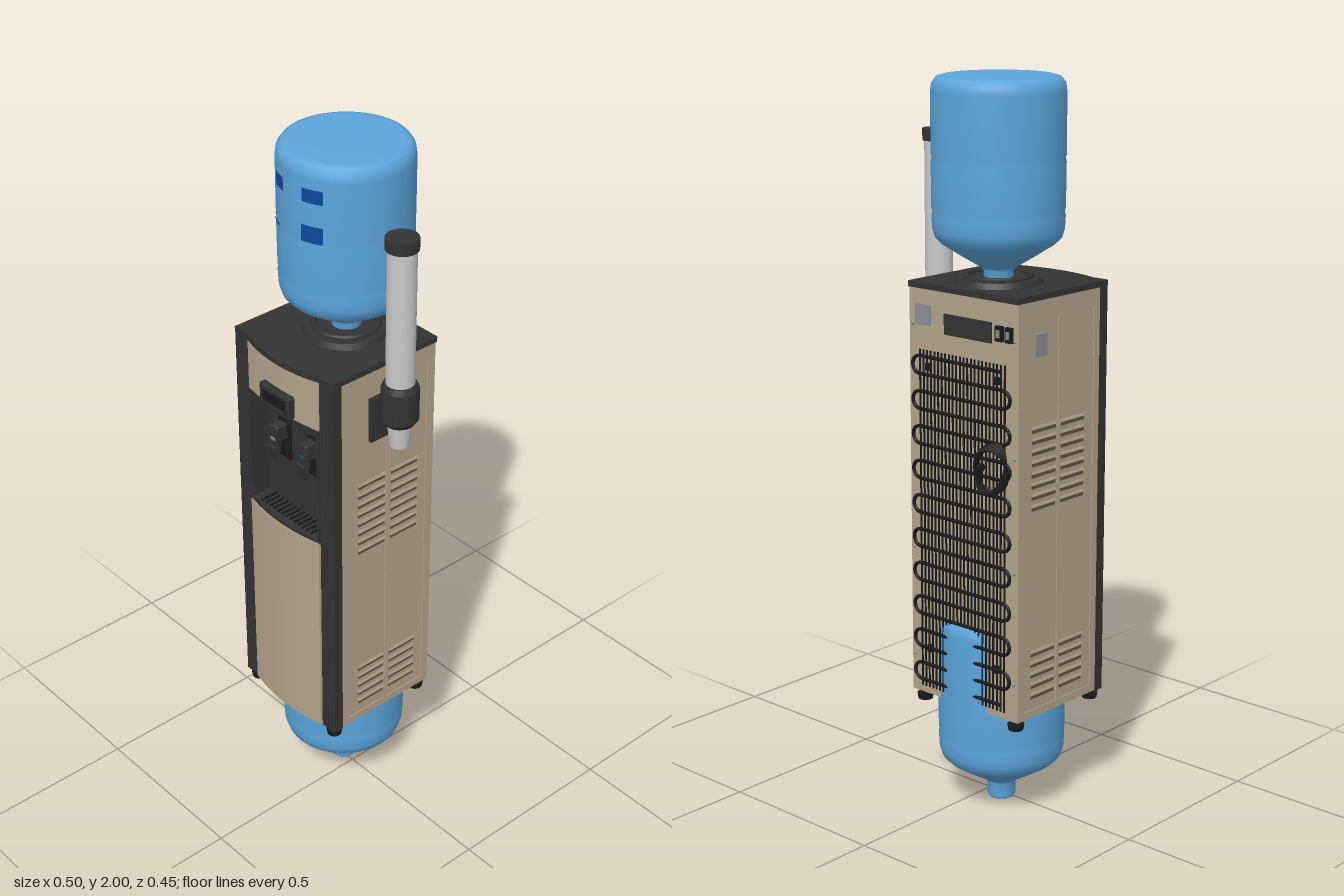
import * as THREE from 'three';
import { RoundedBoxGeometry } from 'three/addons/geometries/RoundedBoxGeometry.js';

const paint = (name, color, double) => {
  const m = new THREE.MeshStandardMaterial({ color });
  m.name = name;
  if (double) m.side = THREE.DoubleSide;
  return m;
};

export function createModel() {
  const beige = paint('champagneMetal', 0xb3a48b);
  const black = paint('charcoalPlastic', 0x333333);
  const dark = paint('blackWire', 0x1a1a1a);
  const blue = paint('bottleBlue', 0x5ba5dc);
  const navy = paint('labelBlue', 0x0c4a9c, true);
  const grey = paint('cupTubeGrey', 0xc9c9c9);
  const slit = paint('ventShadow', 0x5f5545);
  const steel = paint('plateGrey', 0x8b8f94);

  const model = new THREE.Group();
  model.name = 'waterDispenser';

  const add = (parent, name, geo, mat, x = 0, y = 0, z = 0) => {
    const m = new THREE.Mesh(geo, mat);
    m.name = name;
    m.position.set(x, y, z);
    parent.add(m);
    return m;
  };
  // box given by its limits
  const box = (parent, name, mat, x0, x1, y0, y1, z0, z1) =>
    add(parent, name, new THREE.BoxGeometry(x1 - x0, y1 - y0, z1 - z0), mat,
      (x0 + x1) / 2, (y0 + y1) / 2, (z0 + z1) / 2);
  const group = (parent, name, x = 0, y = 0, z = 0) => {
    const g = new THREE.Group();
    g.name = name;
    g.position.set(x, y, z);
    parent.add(g);
    return g;
  };
  // flat outline in x/z raised from y0 to y1
  const prism = (parent, name, mat, shape, y0, y1) => {
    const geo = new THREE.ExtrudeGeometry(shape, { depth: y1 - y0, bevelEnabled: false, curveSegments: 20 });
    geo.rotateX(Math.PI / 2);
    return add(parent, name, geo, mat, 0, y1, 0);
  };
  const bowFront = (half, zBack, zSide, zMid) => {
    const s = new THREE.Shape();
    s.moveTo(-half, zBack);
    s.lineTo(half, zBack);
    s.lineTo(half, zSide);
    s.quadraticCurveTo(0, 2 * zMid - zSide, -half, zSide);
    s.closePath();
    return s;
  };

  // Water bottles, neck down
  const profile = [[0, 0], [0.036, 0], [0.039, 0.006], [0.039, 0.045], [0.05, 0.055], [0.1, 0.085],
    [0.15, 0.117], [0.166, 0.133], [0.173, 0.155], [0.175, 0.19], [0.172, 0.2], [0.175, 0.21], [0.176, 0.33],
    [0.173, 0.34], [0.176, 0.35], [0.176, 0.51], [0.173, 0.53], [0.162, 0.545], [0.145, 0.55], [0, 0.55]]
    .map(([r, y]) => new THREE.Vector2(r, y));
  const bottleGeo = new THREE.LatheGeometry(profile, 48);
  add(model, 'lowerBottle', bottleGeo, blue, -0.053, 0, -0.011);
  const upper = group(model, 'upperBottle', -0.052, 1.45, -0.025);
  add(upper, 'bottleBody', bottleGeo, blue);
  for (const [x0, x1, y0, y1] of [[-0.078, -0.035, 0.45, 0.487], [0.035, 0.09, 0.45, 0.487],
    [0.032, 0.09, 0.342, 0.388], [-0.12, -0.06, 0.342, 0.349]]) {
    const a = Math.asin(x0 / 0.1775), b = Math.asin(x1 / 0.1775);
    add(upper, 'bottleLabel', new THREE.CylinderGeometry(0.1775, 0.1775, y1 - y0, 8, 1, true, a, b - a),
      navy, 0, (y0 + y1) / 2, 0);
  }

  // Cabinet shell
  const cab = group(model, 'cabinet', -0.0545);
  box(cab, 'cabinetBody', beige, -0.19, 0.19, 0.313, 1.45, -0.165, 0.13);
  prism(cab, 'lowerDoor', beige, bowFront(0.141, 0.13, 0.195, 0.213), 0.313, 0.945);
  prism(cab, 'upperFascia', beige, bowFront(0.141, 0.13, 0.19, 0.205), 1.3, 1.45);
  box(cab, 'nicheBack', black, -0.141, 0.141, 0.945, 1.3, 0.129, 0.136);
  prism(cab, 'dripTray', black, bowFront(0.139, 0.13, 0.193, 0.21), 0.945, 0.955);
  for (let i = -6; i <= 6; i++)
    box(cab, 'trayRib', dark, i * 0.017 - 0.003, i * 0.017 + 0.003, 0.955, 0.959, 0.14, 0.19);

  // Top cover with bowed front and bottle collar
  const top = new THREE.Shape();
  top.moveTo(-0.193, -0.17);
  top.lineTo(0.193, -0.17);
  top.lineTo(0.193, 0.19);
  top.lineTo(0.143, 0.19);
  top.quadraticCurveTo(0, 0.238, -0.143, 0.19);
  top.lineTo(-0.193, 0.19);
  top.closePath();
  prism(cab, 'topCover', black, top, 1.447, 1.463);
  add(cab, 'bottleCollar', new THREE.CylinderGeometry(0.112, 0.12, 0.016, 40), black, 0.002, 1.47, -0.025);
  add(cab, 'collarRim', new THREE.TorusGeometry(0.085, 0.008, 8, 40).rotateX(Math.PI / 2), black, 0.002, 1.48, -0.025);

  // Mirrored sides: columns, seams, louvres, feet
  for (const s of [-1, 1]) {
    const side = group(cab, s > 0 ? 'leftSide' : 'rightSide');
    const sbox = (name, mat, a, b, ...rest) =>
      box(side, name, mat, Math.min(s * a, s * b), Math.max(s * a, s * b), ...rest);
    sbox('sideReturn', beige, 0.141, 0.19, 0.313, 1.45, 0.129, 0.16);
    sbox('frontColumn', black, 0.141, 0.193, 0.31, 1.45, 0.158, 0.187);
    for (let i = 0; i < 6; i++)
      add(side, 'columnFlute', new THREE.CylinderGeometry(0.004, 0.004, 1.14, 8), black, s * (0.146 + i * 0.0086), 0.88, 0.187);
    sbox('nicheCheek', black, 0.134, 0.142, 0.945, 1.3, 0.13, 0.194);
    sbox('sideTopRail', beige, 0.19, 0.1925, 1.4, 1.447, -0.165, 0.158);
    sbox('sideBottomRail', beige, 0.19, 0.1925, 0.313, 0.335, -0.165, 0.158);
    sbox('sideFrontRail', beige, 0.19, 0.1925, 0.335, 1.4, 0.135, 0.158);
    sbox('sideRearRail', beige, 0.19, 0.1925, 0.335, 1.4, -0.165, -0.14);
    sbox('sideSeam', beige, 0.19, 0.1925, 0.335, 1.4, -0.008, 0.002);
    for (const [y0, rows] of [[0.89, 8], [0.365, 5]])
      for (let i = 0; i < rows; i++)
        for (const z of [0.052, -0.063]) {
          const y = y0 + i * 0.03;
          sbox('louvreSlit', slit, 0.189, 0.191, y, y + 0.011, z - 0.047, z + 0.047);
          const hood = sbox('louvreHood', beige, 0.189, 0.193, y + 0.01, y + 0.018, z - 0.047, z + 0.047);
          hood.rotation.z = s * 0.3;
        }
    for (const z of [0.167, -0.143]) {
      add(side, 'footStem', new THREE.CylinderGeometry(0.012, 0.012, 0.02, 12), dark, s * 0.167, 0.305, z);
      add(side, 'footPad', new THREE.CylinderGeometry(0.023, 0.02, 0.016, 20), dark, s * 0.167, 0.292, z);
    }
  }
  box(cab, 'sideSticker', steel, -0.194, -0.189, 1.3, 1.36, -0.1, -0.055);

  // Control box and taps
  add(cab, 'controlBox', new RoundedBoxGeometry(0.12, 0.068, 0.045, 2, 0.006), black, 0, 1.336, 0.199);
  box(cab, 'controlWindow', dark, -0.045, 0.045, 1.325, 1.355, 0.219, 0.2225);
  for (const [x, dot] of [[-0.058, steel], [0.062, navy]]) {
    const tap = group(cab, 'tap', x, 1.16, 0.136);
    add(tap, 'tapPlate', new RoundedBoxGeometry(0.05, 0.12, 0.01, 2, 0.004), dark, 0, 0, 0.003);
    add(tap, 'tapBody', new RoundedBoxGeometry(0.034, 0.05, 0.04, 2, 0.006), black, 0, 0.03, 0.025);
    add(tap, 'tapSpout', new THREE.CylinderGeometry(0.013, 0.01, 0.045, 16), black, 0, -0.005, 0.03);
    add(tap, 'tapLever', new RoundedBoxGeometry(0.028, 0.055, 0.008, 2, 0.003), black, 0, -0.03, 0.045).rotation.x = 0.25;
    box(tap, 'tapMark', dot, -0.008, 0.008, 0.012, 0.02, 0.044, 0.047);
  }

  // Condenser coil on the back
  const pts = [];
  const pitch = 0.048, r = pitch / 2;
  for (let i = 0; i < 20; i++) {
    const y = 1.268 - i * pitch, dir = i % 2 ? -1 : 1;
    for (let k = 0; k <= 6; k++) pts.push(new THREE.Vector3(dir * (-0.148 + k * 0.0493), y, -0.176));
    if (i < 19) for (let k = 1; k < 6; k++) {
      const t = k * Math.PI / 6;
      pts.push(new THREE.Vector3(dir * (0.148 + r * Math.sin(t)), y - r + r * Math.cos(t), -0.176));
    }
  }
  const path = new THREE.CatmullRomCurve3(pts, false, 'centripetal');
  path.arcLengthDivisions = 2500;
  add(cab, 'condenserCoil', new THREE.TubeGeometry(path, 1200, 0.005, 6), dark);
  for (let i = 0; i < 24; i++) {
    const x = -0.15 + i * 0.3 / 23;
    box(cab, 'condenserWire', dark, x - 0.0018, x + 0.0018, 0.335, 1.285, -0.173, -0.169);
  }
  for (const x of [-0.12, 0.12]) for (const y of [0.45, 1.24])
    box(cab, 'coilBracket', dark, x - 0.008, x + 0.008, y - 0.01, y + 0.01, -0.175, -0.164);

  // Rear plates and switches
  box(cab, 'ratingPlate', black, -0.1, 0.065, 1.335, 1.39, -0.169, -0.164);
  box(cab, 'rearSticker', steel, 0.115, 0.17, 1.35, 1.405, -0.168, -0.164);
  for (const x of [-0.13, -0.163]) {
    box(cab, 'rearSwitch', dark, x - 0.011, x + 0.011, 1.345, 1.385, -0.175, -0.164);
    box(cab, 'switchRocker', steel, x - 0.005, x + 0.005, 1.355, 1.375, -0.178, -0.174);
  }
  for (const x of [-0.18, 0.18]) for (let i = 0; i < 4; i++)
    add(cab, 'rearScrew', new THREE.SphereGeometry(0.005, 8, 6), steel, x, 0.42 + i * 0.31, -0.166);

  // Bundled power cord
  const cord = group(model, 'powerCord', -0.18, 1.01, -0.197);
  for (let i = 0; i < 5; i++) {
    const loop = add(cord, 'cordLoop', new THREE.TorusGeometry(0.042, 0.004, 6, 28), dark, (i - 2) * 0.003, 0, (i - 2) * 0.003);
    loop.scale.y = 1.4 + 0.06 * i;
    loop.rotation.set(0.06 * (i - 2), 0.3 - 0.08 * (i - 2), 0.12 * (i - 2));
  }
  add(cord, 'cordTie', new THREE.CylinderGeometry(0.012, 0.012, 0.022, 12).rotateZ(Math.PI / 2), dark, 0.04, 0, -0.002);
  add(cord, 'cordPlug', new THREE.CylinderGeometry(0.011, 0.008, 0.035, 12), dark, 0.052, -0.03, 0.006);

  // Cup holder on the left side
  const cup = group(model, 'cupHolder', 0.2, 0, 0.015);
  box(cup, 'cupBracket', black, -0.064, -0.053, 1.24, 1.37, -0.05, 0.05);
  box(cup, 'cupArm', black, -0.055, -0.03, 1.33, 1.4, -0.014, 0.014);
  const turned = (name, mat, r0, r1, y0, y1) =>
    add(cup, name, new THREE.CylinderGeometry(r1, r0, y1 - y0, 32), mat, 0, (y0 + y1) / 2, 0);
  turned('cupTube', grey, 0.038, 0.038, 1.41, 1.815);
  turned('cupCap', black, 0.043, 0.043, 1.81, 1.842);
  turned('cupCollarTop', black, 0.05, 0.043, 1.415, 1.43);
  turned('cupCollar', black, 0.05, 0.05, 1.325, 1.415);
  turned('cupCollarBase', black, 0.04, 0.05, 1.31, 1.325);
  turned('cupTip', grey, 0.025, 0.034, 1.24, 1.31);
  return model;
}
